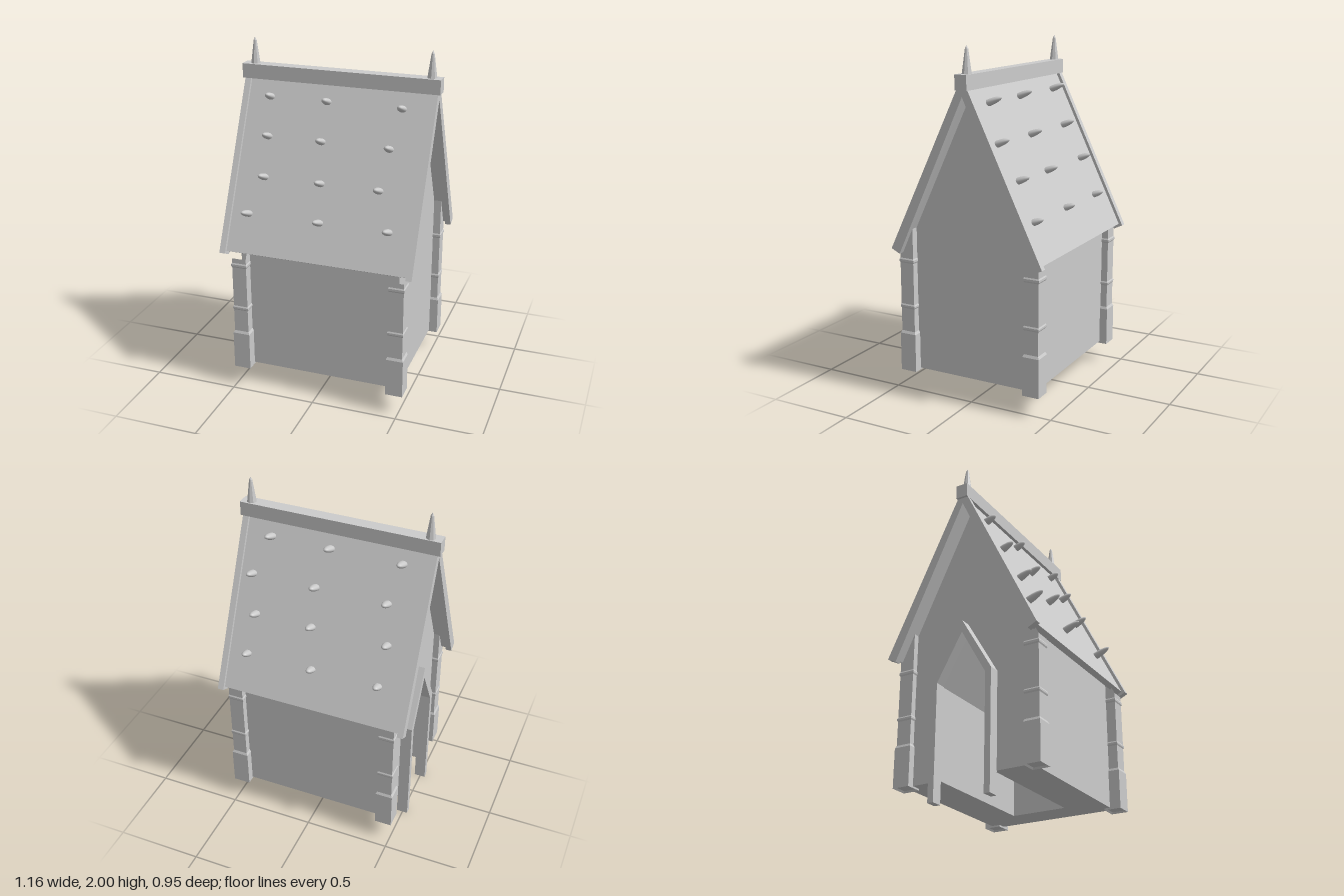
import * as THREE from 'three';

const grey = new THREE.MeshStandardMaterial({ color: 0xcccccc, flatShading: true });
const smooth = new THREE.MeshStandardMaterial({ color: 0xcccccc });

export function createModel() {
  const model = new THREE.Group();

  const add = (name, geometry, material = grey) => {
    const mesh = new THREE.Mesh(geometry, material);
    mesh.name = name;
    model.add(mesh);
    return mesh;
  };

  // Extrudes a (z, y) outline along x from x0 to x1
  const alongX = (points, x0, x1) => {
    const shape = new THREE.Shape(points.map(([z, y]) => new THREE.Vector2(-z, y)));
    const geometry = new THREE.ExtrudeGeometry(shape, { depth: x1 - x0, bevelEnabled: false });
    return geometry.rotateY(Math.PI / 2).translate(x0, 0, 0);
  };

  // Inverted V: outer foot, outer peak, inner foot, inner peak
  const chevron = (zo, yo, peakO, zi, yi, peakI) =>
    [[zo, yo], [0, peakO], [-zo, yo], [-zi, yi], [0, peakI], [zi, yi]];

  // House body: solid back part, and a front part with a pointed passage open below
  const gable = [[0.39, 0.13], [0.39, 0.925], [0, 1.74], [-0.39, 0.925], [-0.39, 0.13]];
  const passage = [[-0.165, 0.13], [-0.165, 0.66], [0, 0.95], [0.165, 0.66], [0.165, 0.13]];
  add('rearBody', alongX(gable, 0.3, 0.475));
  add('doorwayBody', alongX([...gable, ...passage], -0.465, 0.3));

  // Pointed door frame whose legs reach the ground
  add('doorFrame', alongX([
    [0.187, 0], [0.187, 0.68], [0, 1.0], [-0.187, 0.68], [-0.187, 0],
    [-0.152, 0], [-0.152, 0.66], [0, 0.93], [0.152, 0.66], [0.152, 0],
  ], -0.53, -0.464)).position.z = -0.008;

  // Square corner posts with a plinth and two bands, cut off under the roof slope
  const postProfile = [
    [0, 0.13], [0.043, 0.13], [0.05, 0.12], [0.05, 0.345], [0.043, 0.36],
    [0.043, 0.497], [0.047, 0.505], [0.047, 0.515], [0.043, 0.523],
    [0.043, 0.767], [0.047, 0.775], [0.047, 0.787], [0.043, 0.795], [0.043, 1.1],
  ].map(([r, y]) => new THREE.Vector2(r * Math.SQRT2, y));
  for (const x of [-0.457, 0.475]) {
    for (const z of [-0.387, 0.405]) {
      const post = new THREE.LatheGeometry(postProfile, 4, Math.PI / 4).translate(x, 0, z);
      const p = post.attributes.position;
      for (let i = 0; i < p.count; i++) {
        if (p.getY(i) > 1) p.setY(i, 1.755 - 2.08 * Math.abs(p.getZ(i)));
      }
      add('cornerPost', post);
    }
  }

  // Roof panels, raised edge boards and ridge beam
  add('roof', alongX(chevron(0.45, 0.866, 1.8, 0.42, 0.85, 1.735), -0.53, 0.53));
  for (const x of [-0.565, 0.53]) {
    add('edgeBoard', alongX(chevron(0.473, 0.858, 1.84, 0.42, 0.832, 1.735), x, x + 0.035));
  }
  add('ridgeBeam', new THREE.BoxGeometry(1.158, 0.083, 0.072)).position.set(-0.001, 1.81, 0);

  // Tapered spires at both ends of the ridge
  for (const x of [-0.515, 0.52]) {
    add('spire', new THREE.CylinderGeometry(0.009, 0.028, 0.135, 8)).position.set(x, 1.915, -0.005);
    add('spireTip', new THREE.ConeGeometry(0.009, 0.018, 8)).position.set(x, 1.991, -0.005);
  }

  // Small rounded knobs in rows on both slopes: [y, zBase, zTip, x positions]
  const rows = [
    [1.68, 0.06, 0.122, [-0.4, -0.06, 0.375]],
    [1.475, 0.155, 0.228, [-0.38, -0.06, 0.335]],
    [1.265, 0.255, 0.338, [-0.365, -0.03, 0.31]],
    [1.07, 0.35, 0.443, [-0.43, -0.005, 0.395]],
    [1.69, -0.06, -0.137, [-0.385, 0.03, 0.38]],
    [1.485, -0.155, -0.227, [-0.34, 0.08, 0.46]],
    [1.285, -0.25, -0.318, [-0.38, 0.065, 0.405]],
    [1.07, -0.345, -0.41, [-0.37, 0.025, 0.42]],
  ];
  for (const [y, zBase, zTip, xs] of rows) {
    const length = Math.abs(zTip - zBase) * 1.07;
    for (const x of xs) {
      const knob = add('roofKnob', new THREE.SphereGeometry(1, 16, 12), smooth);
      knob.scale.set(0.025, 0.019, length);
      knob.position.set(x, y, zBase);
      // Tilted outward and up along the slope's normal
      knob.rotation.x = -Math.sign(zBase) * 0.4;
    }
  }

  return model;
}
